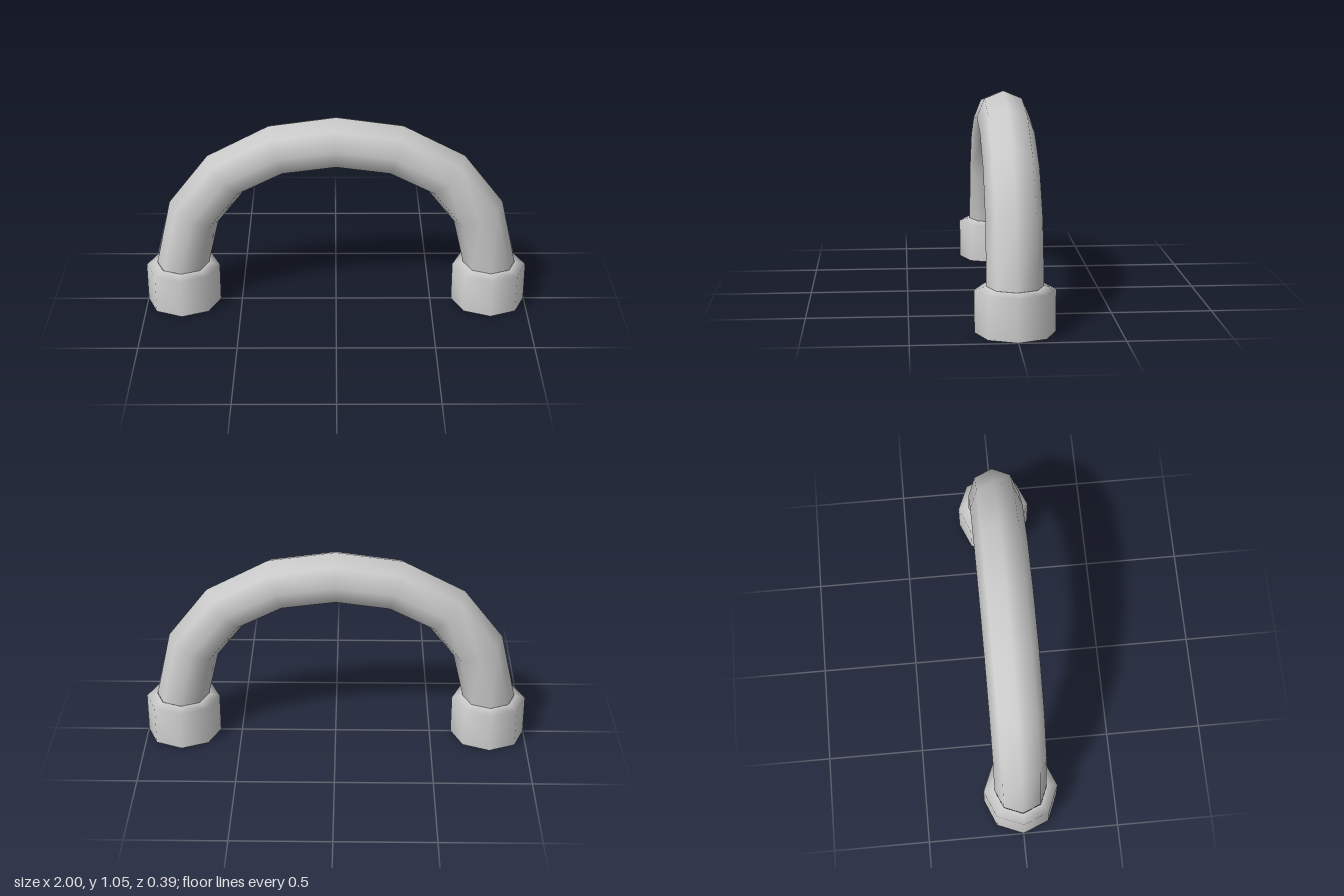
import * as THREE from 'three';
import { mergeVertices } from 'three/addons/utils/BufferGeometryUtils.js';

const SIDES = 8;
const TUBE_R = 0.136;

// Smooth, area-weighted normals over welded vertices
function smooth(geometry) {
  geometry.deleteAttribute('uv');
  geometry.deleteAttribute('normal');
  const welded = mergeVertices(geometry, 1e-4);
  welded.computeVertexNormals();
  return welded;
}

// Octagonal tube swept through mitred rings, each given by its outer and inner point
function archGeometry() {
  const half = [ // outer x, outer y, inner x, inner y
    [0.941, 0.222, 0.669, 0.222],
    [0.861, 0.575, 0.612, 0.463],
    [0.657, 0.836, 0.476, 0.636],
    [0.342, 1.0, 0.262, 0.742],
    [0, 1.047, 0, 0.776],
  ];
  const mirrored = half.slice(0, -1).reverse().map(([ox, oy, ix, iy]) => [-ox, oy, -ix, iy]);
  const rings = [...half, ...mirrored];
  const positions = [];
  const index = [];
  rings.forEach(([ox, oy, ix, iy], i) => {
    for (let j = 0; j < SIDES; j++) {
      const a = (j / SIDES) * Math.PI * 2;
      const c = Math.cos(a) / 2;
      positions.push((ox + ix) / 2 + (ox - ix) * c, (oy + iy) / 2 + (oy - iy) * c, TUBE_R * Math.sin(a));
      if (i === rings.length - 1) continue;
      const k = (j + 1) % SIDES;
      const p = i * SIDES;
      const q = p + SIDES;
      index.push(p + j, q + j, p + k, p + k, q + j, q + k);
    }
  });
  const geometry = new THREE.BufferGeometry();
  geometry.setAttribute('position', new THREE.Float32BufferAttribute(positions, 3));
  geometry.setIndex(index);
  geometry.computeVertexNormals();
  return geometry;
}

export function createModel() {
  const group = new THREE.Group();
  group.name = 'archedPipe';
  const material = new THREE.MeshStandardMaterial({ color: 0xcccccc, side: THREE.DoubleSide });

  // Bent pipe
  const arch = new THREE.Mesh(archGeometry(), material);
  arch.name = 'archTube';
  group.add(arch);

  // End collars: open underneath, with a sloped shoulder up to the pipe
  const profile = [[0.193, 0], [0.193, 0.207], [TUBE_R, 0.222]].map(([r, y]) => new THREE.Vector2(r, y));
  const collarGeometry = smooth(new THREE.LatheGeometry(profile, SIDES));
  for (const side of [1, -1]) {
    const collar = new THREE.Mesh(collarGeometry, material);
    collar.name = side > 0 ? 'leftCollar' : 'rightCollar';
    collar.position.x = side * 0.806;
    group.add(collar);
  }
  return group;
}
